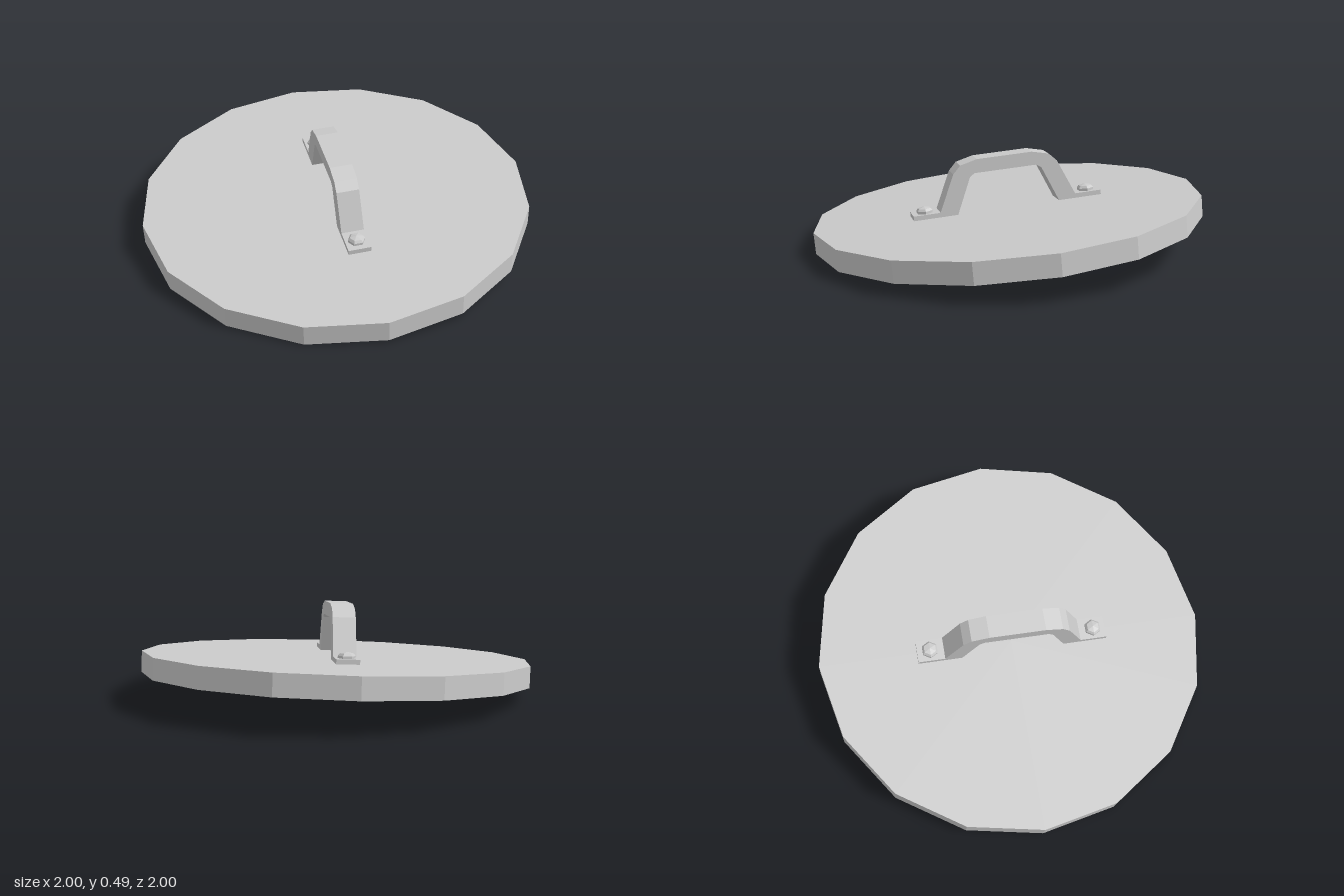
import * as THREE from 'three';

const RADIUS = 1.007, THICK = 0.11, WIDTH = 0.116;

export function createModel() {
  const model = new THREE.Group();
  model.name = 'lid';
  const material = new THREE.MeshStandardMaterial({ color: 0xcccccc, flatShading: true });

  // Everything shares one tilted, slightly turned frame whose origin is the disc centre
  const body = new THREE.Group();
  body.name = 'tiltedLid';
  const normal = new THREE.Vector3(-0.062, 1, 0.068).normalize();
  body.quaternion
    .setFromUnitVectors(new THREE.Vector3(0, 1, 0), normal)
    .multiply(new THREE.Quaternion().setFromAxisAngle(new THREE.Vector3(0, 1, 0), THREE.MathUtils.degToRad(-15)));
  body.position.y = 0.147;
  model.add(body);

  const add = (name, geometry, y = 0, z = 0) => {
    const mesh = new THREE.Mesh(geometry, material);
    mesh.name = name;
    mesh.position.set(0, y, z);
    body.add(mesh);
    return mesh;
  };

  // Sixteen-sided disc
  add('disc', new THREE.CylinderGeometry(RADIUS, RADIUS, THICK, 16));

  // Bent strap handle: half outlines (distance along, height), mirrored
  const outer = [[0.5, 0], [0.5, 0.024], [0.36, 0.024], [0.275, 0.213], [0.235, 0.254], [0.145, 0.276]];
  const inner = [[0.165, 0.205], [0.19, 0.187], [0.27, 0]];
  const mirror = (pts) => pts.map(([s, h]) => [-s, h]).reverse();
  const outline = [...outer, ...mirror(outer), ...mirror(inner), ...inner];
  const shape = new THREE.Shape(outline.map(([s, h]) => new THREE.Vector2(s, h)));
  const strap = new THREE.ExtrudeGeometry(shape, { depth: WIDTH, bevelEnabled: false });
  strap.translate(0, 0, -WIDTH / 2).rotateY(-Math.PI / 2);
  add('handle', strap, THICK / 2);

  // Hexagonal bolt heads with a low pointed crown on each foot
  const profile = [[0.044, 0], [0.044, 0.012], [0.034, 0.024], [0, 0.032]];
  const bolt = new THREE.LatheGeometry(profile.map(([r, y]) => new THREE.Vector2(r, y)), 6);
  bolt.rotateY(Math.PI / 6);
  for (const side of [1, -1]) {
    add(side > 0 ? 'frontBolt' : 'backBolt', bolt, THICK / 2 + 0.024, side * 0.433);
  }
  return model;
}
